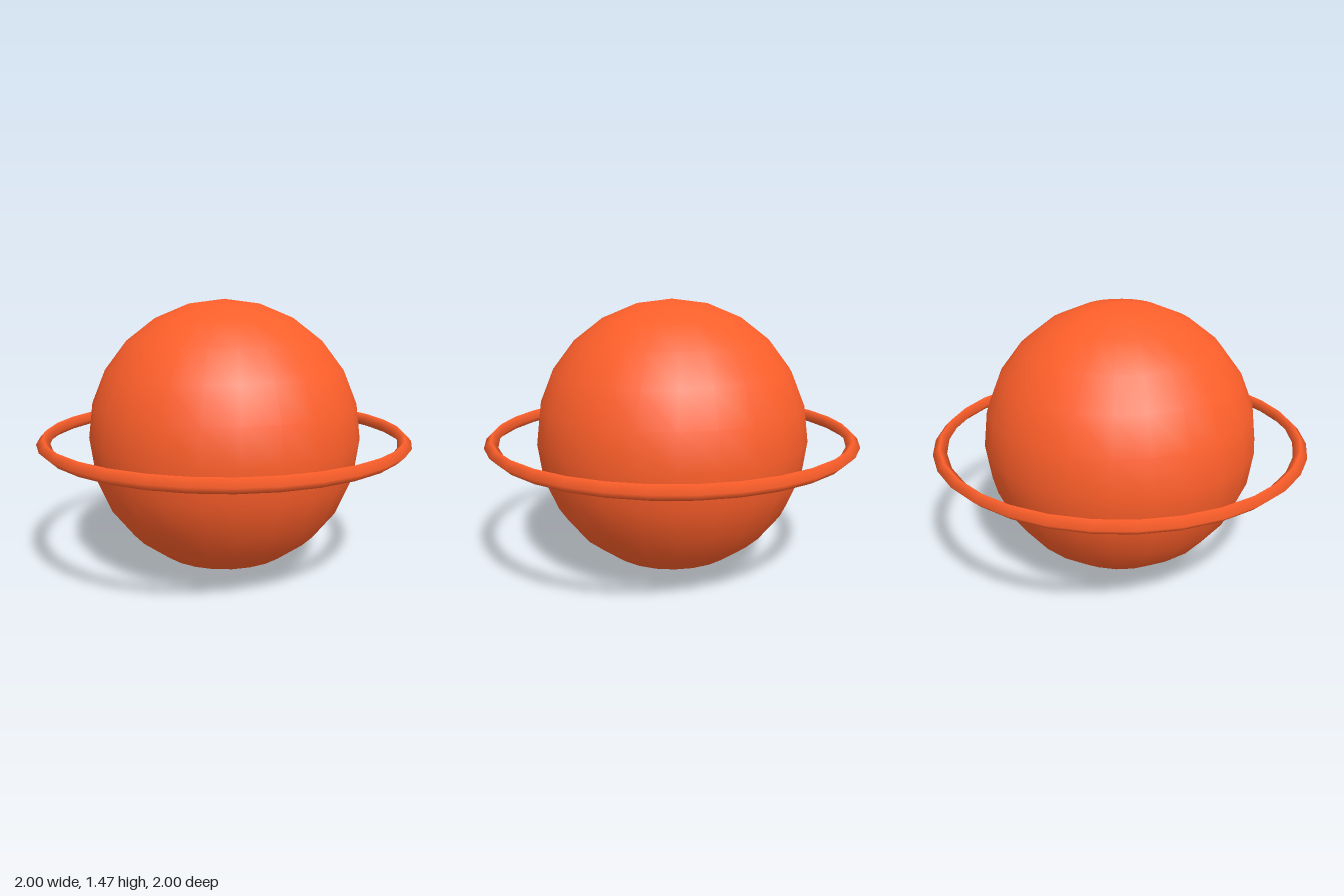
import * as THREE from 'three';

export function createModel() {
  const model = new THREE.Group();
  const material = new THREE.MeshStandardMaterial({ color: 0xff5f2a });
  const radius = 0.733; // globe radius, also the height of its centre
  const tube = 0.036;

  const addPart = (name, geometry) => {
    const mesh = new THREE.Mesh(geometry, material);
    mesh.name = name;
    mesh.position.y = radius;
    model.add(mesh);
  };

  // Round body
  addPart('globe', new THREE.SphereGeometry(radius, 24, 12));

  // Thin level ring with a diamond section, clear of the globe
  addPart('ring', new THREE.TorusGeometry(1 - tube, tube, 4, 32).rotateX(Math.PI / 2));

  return model;
}
